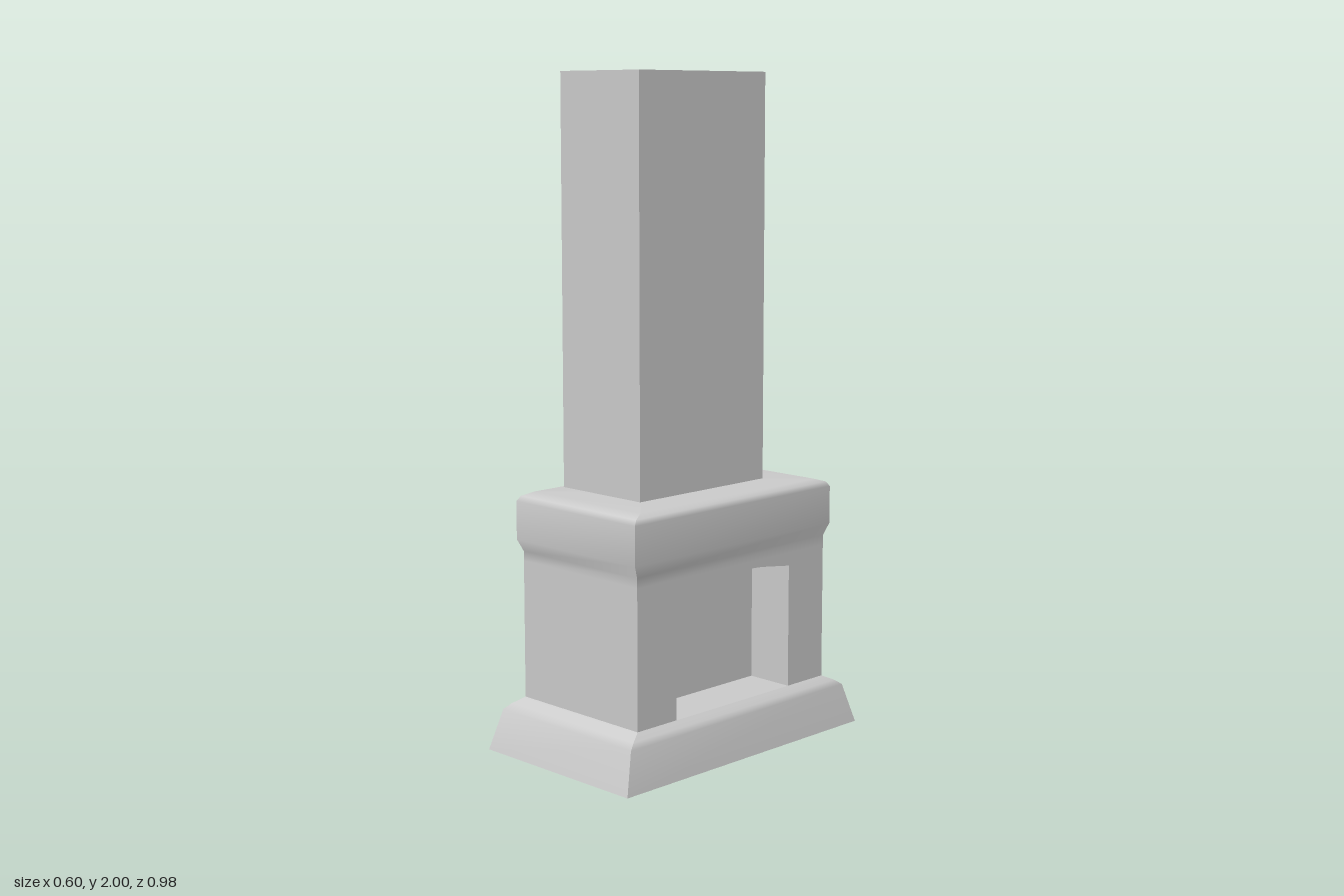
import * as THREE from 'three';

const material = new THREE.MeshStandardMaterial({ color: 0xcccccc, roughness: 0.8 });

function add(group, name, geometry, x = 0, y = 0, z = 0) {
  const mesh = new THREE.Mesh(geometry, material);
  mesh.name = name;
  mesh.position.set(x, y, z);
  group.add(mesh);
  return mesh;
}

// Rectangular moulding from rings [halfX, y, halfZ]: smooth along the profile, sharp at the mitres.
function moulding(rings) {
  const corners = [[1, 1], [1, -1], [-1, -1], [-1, 1]];
  const positions = [];
  const index = [];
  for (let side = 0; side < 4; side++) {
    const first = positions.length / 3;
    const ends = [corners[side], corners[(side + 1) % 4]];
    for (const [hx, y, hz] of rings) {
      for (const [sx, sz] of ends) positions.push(sx * hx, y, sz * hz);
    }
    for (let r = 0; r < rings.length - 1; r++) {
      const a = first + r * 2;
      index.push(a, a + 1, a + 3, a, a + 3, a + 2);
    }
  }
  const geometry = new THREE.BufferGeometry();
  geometry.setAttribute('position', new THREE.Float32BufferAttribute(positions, 3));
  geometry.setIndex(index);
  geometry.computeVertexNormals();
  return geometry;
}

export function createModel() {
  const group = new THREE.Group();
  group.name = 'fireplace';

  const bodyX = 0.241, bodyZ = 0.396;
  const baseTop = 0.155, bodyTop = 0.57;
  const backWall = 0.09;

  // Flared plinth with its underside and the hearth floor
  add(group, 'plinth', moulding([
    [0.299, 0, 0.492],
    [0.275, 0.122, 0.455],
    [0.262, 0.138, 0.432],
    [bodyX, baseTop, bodyZ],
  ]));
  add(group, 'plinthUnderside', new THREE.PlaneGeometry(0.598, 0.984).rotateX(Math.PI / 2));
  add(group, 'hearthFloor', new THREE.PlaneGeometry(bodyX * 2, bodyZ * 2).rotateX(-Math.PI / 2), 0, baseTop, 0);

  // Solid rear part of the body, whose face closes the firebox
  add(group, 'bodyCore',
    new THREE.BoxGeometry(backWall + bodyX, bodyTop - baseTop, bodyZ * 2),
    (backWall - bodyX) / 2, (bodyTop + baseTop) / 2, 0);

  // Surround with the peaked opening on the model's left (+x) side
  const outline = new THREE.Shape([
    [-bodyZ, baseTop], [-0.24, baseTop], [-0.24, 0.53], [-0.12, 0.546],
    [0, 0.554], [0.12, 0.546], [0.24, 0.53], [0.24, baseTop],
    [bodyZ, baseTop], [bodyZ, bodyTop], [-bodyZ, bodyTop],
  ].map(([x, y]) => new THREE.Vector2(x, y)));
  const surround = new THREE.ExtrudeGeometry(outline, { depth: bodyX - backWall, bevelEnabled: false });
  add(group, 'fireboxSurround', surround.rotateY(Math.PI / 2), backWall, 0, 0);

  // Mantel: cove, upright band, rounded shoulder and flat top closing on a ridge line
  add(group, 'mantel', moulding([
    [bodyX, bodyTop, bodyZ],
    [bodyX, 0.6, bodyZ],
    [0.251, 0.637, 0.414],
    [0.251, 0.752, 0.414],
    [0.244, 0.767, 0.402],
    [0.224, 0.778, 0.366],
    [0, 0.778, 0.142],
  ]));

  // Chimney breast, set back from the opening
  add(group, 'chimney', new THREE.BoxGeometry(0.326, 1.222, 0.52), -0.05, 1.389, 0);

  return group;
}
